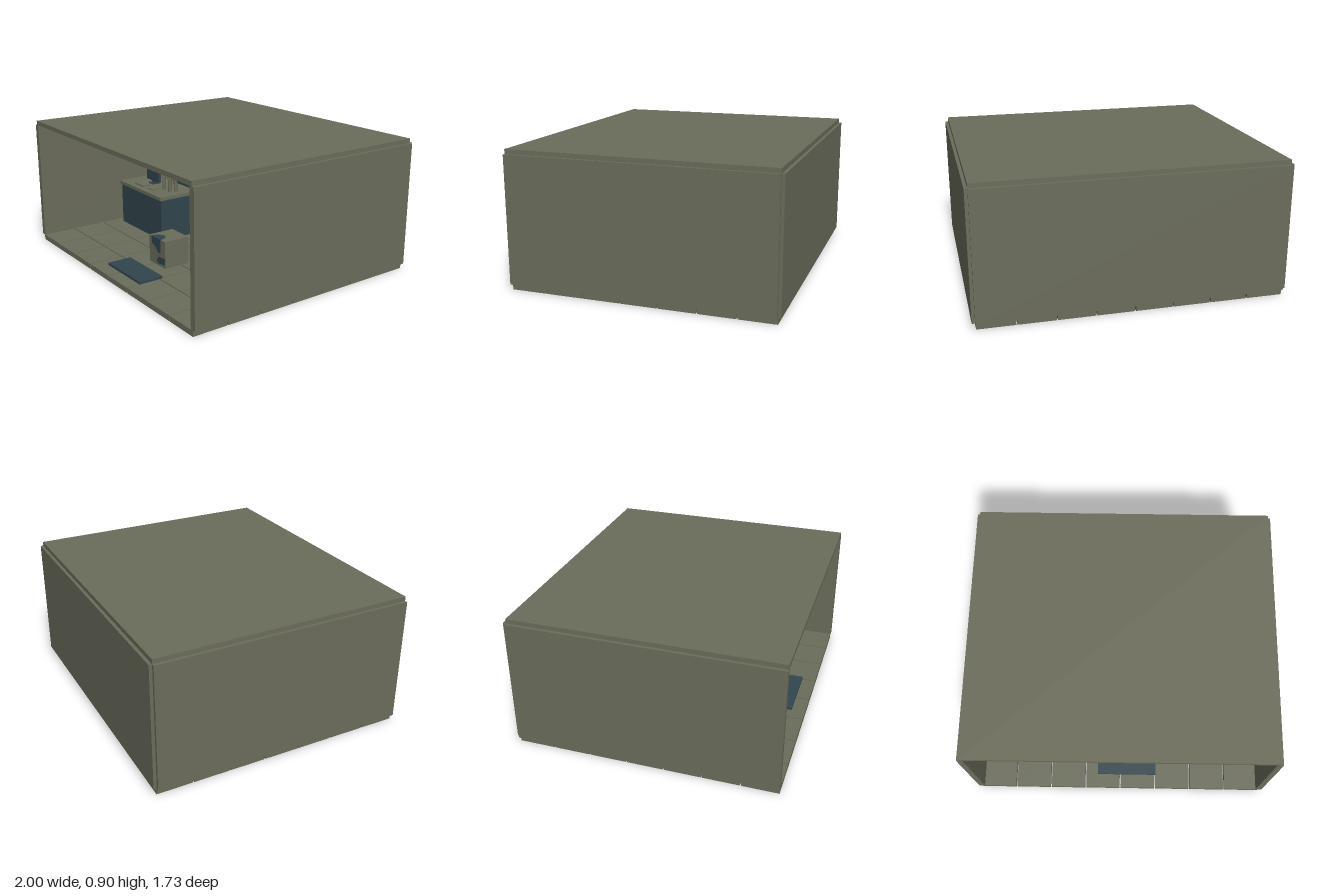
import * as THREE from 'three';

const mat = (name, color) => {
  const m = new THREE.MeshStandardMaterial({ color });
  m.name = name;
  return m;
};

export function createModel() {
  const khaki = mat('khaki', 0x6b6d5b);
  const wood = mat('wood', 0x63402c);
  const slate = mat('slate blue', 0x31454e);

  const root = new THREE.Group();
  root.name = 'shopRoom';

  const group = (name, parent = root) => {
    const g = new THREE.Group();
    g.name = name;
    parent.add(g);
    return g;
  };

  // Box given by its limits on each axis
  const box = (name, m, [x0, x1], [y0, y1], [z0, z1], parent = root) => {
    const mesh = new THREE.Mesh(new THREE.BoxGeometry(x1 - x0, y1 - y0, z1 - z0), m);
    mesh.position.set((x0 + x1) / 2, (y0 + y1) / 2, (z0 + z1) / 2);
    mesh.name = name;
    parent.add(mesh);
    return mesh;
  };

  let seed = 11;
  const rand = () => (seed = (seed * 16807) % 2147483647) / 2147483647;

  // Tiled floor
  const floor = group('floor');
  const pitch = 0.245, gap = 0.004;
  for (let i = 0; i < 8; i++) {
    for (let j = 0; j < 7; j++) {
      const x = -0.98 + i * pitch, z = -0.85 + j * pitch;
      box('floorTile', khaki, [x + gap, x + pitch - gap], [0, 0.036], [z + gap, z + pitch - gap], floor);
    }
  }

  // Walls, ceiling and skirting
  for (const s of [-1, 1]) {
    box(s > 0 ? 'leftWall' : 'rightWall', khaki, s > 0 ? [0.96, 1] : [-1, -0.96], [0.04, 0.87], [-0.845, 0.865]);
    box('wallLamp', khaki, [s * 0.247 - 0.013, s * 0.247 + 0.013], [0.78, 0.806], [-0.825, -0.79]);
  }
  box('backWall', khaki, [-0.98, 0.98], [0.04, 0.87], [-0.865, -0.825]);
  box('ceiling', khaki, [-0.98, 0.98], [0.87, 0.9], [-0.845, 0.865]);
  box('skirting', wood, [-0.96, 0.96], [0.04, 0.108], [-0.826, -0.813]);

  // Windows on the back wall
  for (const cx of [-0.59, 0.093]) {
    const w = group('window');
    const [l, r, b, t] = [cx - 0.202, cx + 0.202, 0.39, 0.766];
    const z = [-0.826, -0.81];
    box('windowPane', slate, [l + 0.02, r - 0.02], [b + 0.02, t - 0.02], [-0.826, -0.82], w);
    box('windowFrame', wood, [l, l + 0.027], [b, t], z, w);
    box('windowFrame', wood, [r - 0.027, r], [b, t], z, w);
    box('windowFrame', wood, [l + 0.027, r - 0.027], [b, b + 0.027], z, w);
    box('windowFrame', wood, [l + 0.027, r - 0.027], [t - 0.027, t], z, w);
    box('windowBar', wood, [cx - 0.006, cx + 0.006], [b + 0.027, t - 0.027], [-0.826, -0.813], w);
    box('windowBar', wood, [l + 0.027, r - 0.027], [0.572, 0.584], [-0.826, -0.814], w);
  }

  // Shelf unit with stocked boards
  const shelfUnit = (x0, x1, z0, z1, rows) => {
    const u = group('shelfUnit');
    const p = 0.02;
    for (const x of [x0, x1 - p]) {
      for (const z of [z0, z1 - p]) box('shelfPost', slate, [x, x + p], [0.04, 0.706], [z, z + p], u);
    }
    const step = (x1 - x0 - 0.03) / 5;
    const depth = (z1 - z0) / rows;
    for (const y of [0.11, 0.272, 0.44, 0.605]) {
      box('shelfBoard', wood, [x0 + 0.012, x1 - 0.012], [y, y + 0.018], [z0 + 0.004, z1 - 0.004], u);
      for (let r = 0; r < rows; r++) {
        const zc = z0 + depth * (r + 0.5);
        for (let i = 0; i < 5; i++) {
          const x = x0 + 0.025 + i * step;
          const h = 0.055 + 0.045 * rand();
          box('shelfGoods', khaki, [x, x + step * 0.6], [y + 0.018, y + 0.018 + h], [zc - 0.03, zc + 0.03], u);
        }
      }
    }
  };
  for (const x of [-0.895, -0.367, 0.16]) shelfUnit(x, x + 0.436, -0.81, -0.66, 1);
  shelfUnit(0.52, 0.845, -0.18, 0.25, 3);

  // Cabinet behind the counter
  box('cabinet', slate, [-0.945, -0.77], [0.04, 0.515], [-0.55, -0.3]);

  // Counter
  const counter = group('counter');
  box('counterBody', slate, [-0.895, -0.335], [0.04, 0.345], [-0.06, 0.235], counter);
  box('counterTop', khaki, [-0.905, -0.325], [0.345, 0.37], [-0.07, 0.245], counter);

  // Things on the counter
  box('monitor', slate, [-0.77, -0.605], [0.392, 0.512], [0.06, 0.085], counter);
  box('monitorNeck', slate, [-0.7, -0.675], [0.37, 0.4], [0.06, 0.08], counter);
  box('monitorFoot', slate, [-0.72, -0.655], [0.37, 0.376], [0.04, 0.1], counter);
  box('keyboard', khaki, [-0.76, -0.64], [0.37, 0.38], [0.14, 0.2], counter);
  box('notepad', khaki, [-0.59, -0.52], [0.37, 0.376], [0.12, 0.19], counter);
  for (const [x, z] of [[-0.5, 0.1], [-0.48, 0.06], [-0.425, 0.1], [-0.408, 0.06]]) {
    const bottle = new THREE.Mesh(new THREE.CylinderGeometry(0.013, 0.013, 0.1, 12), khaki);
    bottle.position.set(x, 0.42, z);
    bottle.name = 'bottle';
    counter.add(bottle);
  }

  // Crate with irregular dark patches
  const crate = group('crate');
  box('crateBody', khaki, [-0.065, 0.13], [0.036, 0.225], [0.315, 0.5], crate);
  const patch = (points) => {
    const shape = new THREE.Shape(points.map(([x, y]) => new THREE.Vector2(x, y)));
    const mesh = new THREE.Mesh(new THREE.ExtrudeGeometry(shape, { depth: 0.002, bevelEnabled: false }), slate);
    mesh.name = 'cratePatch';
    crate.add(mesh);
    return mesh;
  };
  patch([[-0.035, 0.225], [-0.03, 0.175], [0.01, 0.16], [0.045, 0.125], [0.072, 0.13], [0.075, 0.225]]).position.z = 0.5;
  patch([[0.02, 0.065], [0.05, 0.1], [0.125, 0.105], [0.125, 0.06], [0.05, 0.05]]).position.z = 0.5;
  const topPatch = patch([[-0.035, 0], [0.075, 0], [0.06, 0.05], [0.02, 0.07], [-0.03, 0.04]]);
  topPatch.rotation.x = -Math.PI / 2;
  topPatch.position.set(0, 0.225, 0.5);

  // Door mat
  box('doorMat', slate, [-0.16, 0.25], [0.036, 0.052], [0.6, 0.77]);

  return root;
}
